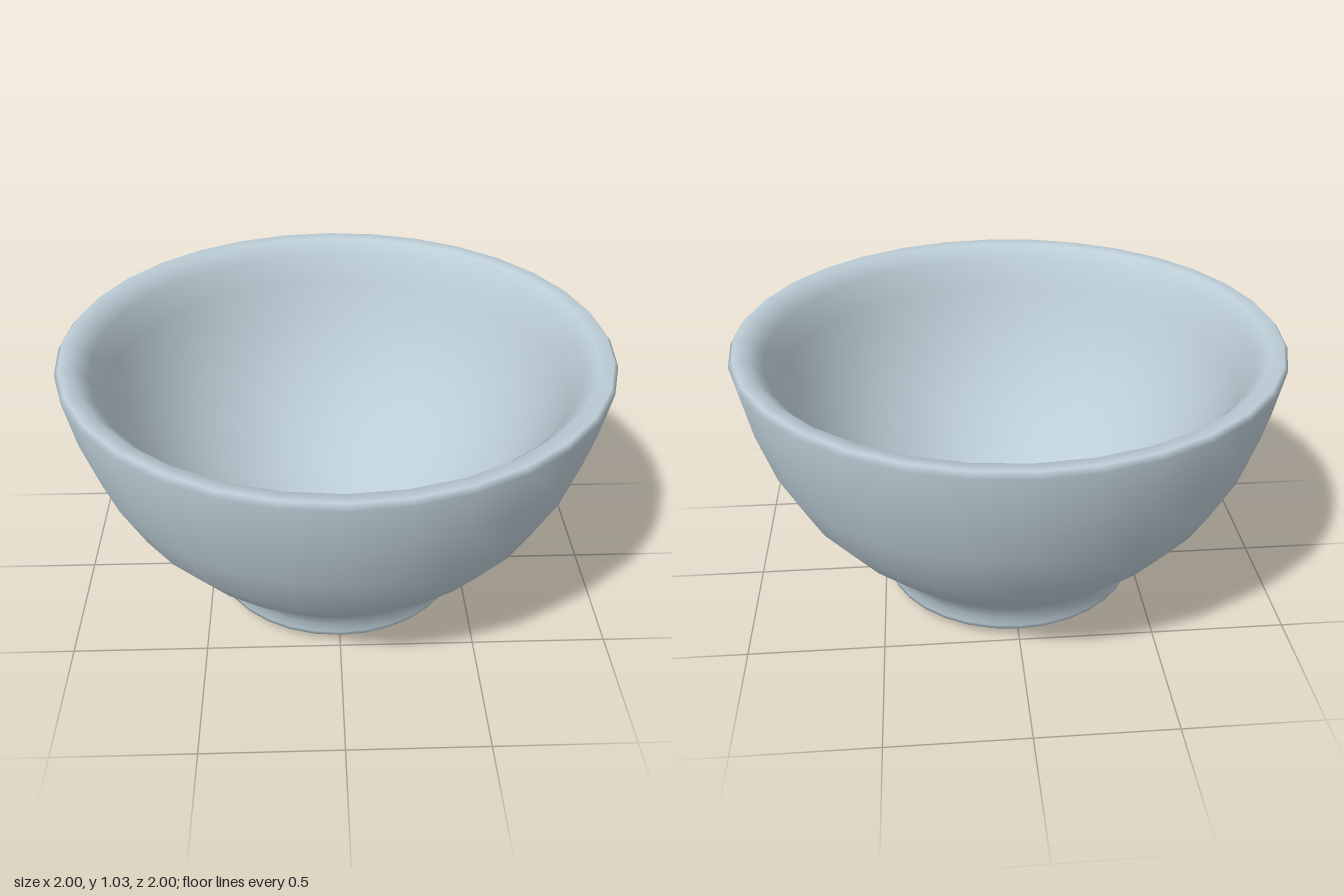
import * as THREE from 'three';

// Closed cross-section as [radius, height], from the centre underneath to the centre inside.
const underside = [[0, 0.085], [0.2, 0.083], [0.32, 0.07], [0.38, 0.035]];
const foot = [[0.41, 0], [0.45, 0.012], [0.488, 0.042], [0.491, 0.06], [0.492, 0.1], [0.525, 0.165]];
const outerWall = [[0.61, 0.245], [0.71, 0.34], [0.82, 0.48], [0.905, 0.65], [0.965, 0.84]];
const rim = [[1, 1.015], [0.985, 1.033], [0.935, 1.03], [0.885, 0.98]];
const innerWall = [[0.845, 0.87], [0.795, 0.745], [0.725, 0.61], [0.63, 0.475], [0.51, 0.355], [0.38, 0.26], [0.25, 0.195], [0.12, 0.16], [0, 0.15]];

export function createModel() {
  const group = new THREE.Group();
  group.name = 'footedBowl';

  const glaze = new THREE.MeshStandardMaterial({ color: 0xbccdd6 });
  glaze.name = 'paleBlueGrey';

  // Foot, wall and rim are one smooth turned body.
  const profile = [...underside, ...foot, ...outerWall, ...rim, ...innerWall]
    .map(([r, y]) => new THREE.Vector2(r, y));
  const bowl = new THREE.Mesh(new THREE.LatheGeometry(profile, 32), glaze);
  bowl.name = 'bowlBody';
  group.add(bowl);

  return group;
}
